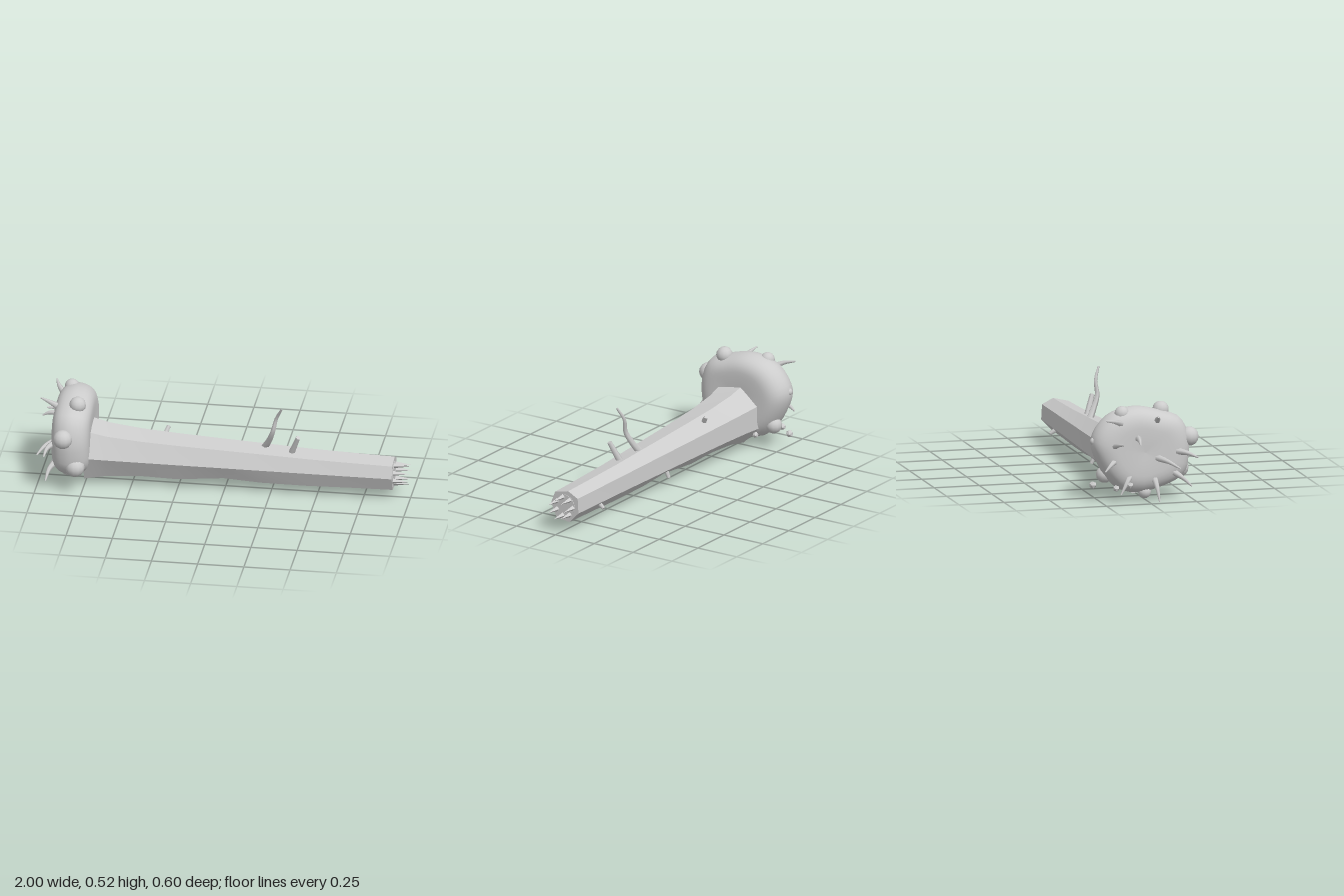
import * as THREE from 'three';

const V = (x, y, z) => new THREE.Vector3(x, y, z);

// Outlines are [z, y] pairs, running clockwise when seen from +x
const ROOT_END = [[.17, .19], [.105, .32], [-.04, .345], [-.15, .255], [-.15, .125], [-.04, .02], [.105, .045]];
const CUT_END = [[.088, .148], [.063, .212], [-.022, .232], [-.083, .2], [-.088, .118], [-.03, .058], [.053, .07]];
const BALL = [[.255, .3], [.235, .39], [.19, .45], [.1, .48], [.02, .502], [-.05, .51], [-.13, .497], [-.2, .465],
  [-.26, .4], [-.288, .335], [-.282, .275], [-.25, .2], [-.2, .12], [-.13, .06], [-.02, .04], [.1, .068],
  [.18, .1], [.235, .15], [.25, .22]];

// Skin rings ordered toward +x; sharp keeps the lengthwise edges crisp
function loft(rings, sharp) {
  const pos = [], idx = [], n = rings[0].length;
  const quad = (a, b, c, d) => idx.push(a, c, b, b, c, d);
  if (sharp) {
    for (let i = 0; i < n; i++) {
      const base = pos.length / 3;
      rings.forEach(r => pos.push(...r[i], ...r[(i + 1) % n]));
      for (let j = 0; j < rings.length - 1; j++) {
        const k = base + j * 2;
        quad(k, k + 1, k + 2, k + 3);
      }
    }
  } else {
    rings.forEach(r => r.forEach(p => pos.push(...p)));
    for (let j = 0; j < rings.length - 1; j++) {
      for (let i = 0; i < n; i++) {
        const k = (i + 1) % n;
        quad(j * n + i, j * n + k, (j + 1) * n + i, (j + 1) * n + k);
      }
    }
  }
  return finish(pos, idx);
}

function finish(pos, idx) {
  const g = new THREE.BufferGeometry();
  g.setAttribute('position', new THREE.Float32BufferAttribute(pos, 3));
  g.setIndex(idx);
  g.computeVertexNormals();
  return g;
}

// Flat end face over a ring
function cap(ring, facesRight) {
  const n = ring.length, pos = ring.flat(), idx = [];
  for (let i = 1; i < n - 1; i++) idx.push(0, ...(facesRight ? [i + 1, i] : [i, i + 1]));
  return finish(pos, idx);
}

// Tapered limb along a curve: a tube whose rings shrink toward the tip, closed by a point
function limb(points, r0, r1, sides = 6) {
  const curve = new THREE.CatmullRomCurve3(points);
  const steps = 4 * (points.length - 1);
  const g = new THREE.TubeGeometry(curve, steps, 1, sides, false);
  const p = g.attributes.position, v = V(), c = V();
  for (let j = 0; j <= steps; j++) {
    curve.getPointAt(j / steps, c);
    for (let i = 0; i <= sides; i++) {
      const k = j * (sides + 1) + i;
      v.fromBufferAttribute(p, k).sub(c).multiplyScalar(r0 + (r1 - r0) * j / steps).add(c);
      p.setXYZ(k, v.x, v.y, v.z);
    }
  }
  return g;
}

export function createModel() {
  const model = new THREE.Group();
  const bark = new THREE.MeshStandardMaterial({ color: 0xcccccc });
  bark.name = 'pale bark';
  const add = (name, geometry, parent = model) => {
    const m = new THREE.Mesh(geometry, bark);
    m.name = name;
    parent.add(m);
    return m;
  };
  const group = name => {
    const g = new THREE.Group();
    g.name = name;
    model.add(g);
    return g;
  };

  // Seven-sided trunk flaring toward the roots: [x, flare, bottom lift]
  const stations = [[-.75, 1, 0], [-.71, .95, .005], [-.63, .77, .012], [-.45, .58, .015], [-.25, .46, .004],
    [0, .34, .022], [.2, .25, .005], [.45, .13, -.002], [.68, .06, 0], [.91, 0, 0]];
  const rings = stations.map(([x, t, lift]) => CUT_END.map(([z, y], i) => [
    x,
    y + (ROOT_END[i][1] - y) * t + (i > 4 ? lift : 0),
    z + (ROOT_END[i][0] - z) * t,
  ]));
  add('trunk', loft(rings, true));
  add('trunkCutFace', cap(rings[rings.length - 1], true));
  add('trunkRootFace', cap(rings[0], false));

  // Inner disc and ring of splinters on the cut end
  const disc = add('heartwood', new THREE.CylinderGeometry(.065, .065, .006, 14));
  disc.rotation.z = -Math.PI / 2;
  disc.position.set(.91, .145, 0);
  const splinters = group('splinters');
  for (let i = 0; i < 7; i++) {
    const a = i / 7 * Math.PI * 2;
    const s = add('splinter', new THREE.ConeGeometry(.015, .09, 4).toNonIndexed(), splinters);
    s.geometry.computeVertexNormals();
    s.rotation.z = -Math.PI / 2;
    s.position.set(.955, .143 + .053 * Math.sin(a), -.053 * Math.cos(a));
  }

  // Lens-shaped root ball
  const outline = new THREE.CatmullRomCurve3(BALL.map(([z, y]) => V(0, y, z)), true).getPoints(38).slice(0, 38);
  const profile = new THREE.CatmullRomCurve3([[-.915, 0], [-.92, .45], [-.912, .75], [-.875, .94], [-.82, 1],
    [-.765, .95], [-.725, .8], [-.715, .55], [-.725, 0]].map(([x, s]) => V(x, s, 0))).getPoints(24);
  add('rootBall', loft(profile.map(q => outline.map(o => [
    q.x, .27 + (o.y - .27) * q.y, -.01 + (o.z + .01) * q.y,
  ])), false));

  // Rounded knobs on the root ball: x, y, z, radius
  const knobs = group('rootKnobs');
  [[-.785, .478, .108, .045], [-.785, .158, .21, .053], [-.845, .335, .25, .052], [-.85, .478, -.125, .04],
    [-.79, .14, -.205, .046], [-.83, .33, -.275, .021], [-.855, .048, 0, .036],
  ].forEach(([x, y, z, r]) => add('knob', new THREE.SphereGeometry(r, 12, 8), knobs).position.set(x, y, z));

  // Loose clods of earth
  const clods = group('earthClods');
  [[-.83, .093, -.28, .021], [-.92, .085, -.175, .019], [-.93, .1, -.1, .018], [-.72, .09, -.135, .017],
  ].forEach(([x, y, z, r]) => add('clod', new THREE.IcosahedronGeometry(r, 0), clods).position.set(x, y, z));

  // Curved root spikes: base, then tip
  const roots = group('roots');
  [[[-.88, .43, .06], [-.995, .475, .04]], [[-.88, .42, -.12], [-.95, .46, -.24]],
    [[-.9, .35, -.05], [-1, .325, -.06]], [[-.88, .3, -.19], [-.99, .33, -.15]],
    [[-.9, .27, .16], [-.945, .235, .275]], [[-.9, .24, .05], [-1, .19, .16]],
    [[-.89, .16, .14], [-.94, .08, .24]], [[-.89, .14, .04], [-.965, .008, .055]],
    [[-.89, .16, -.08], [-.93, .05, -.15]], [[-.89, .23, -.17], [-.94, .18, -.24]],
  ].forEach(([a, b]) => {
    const base = V(...a), tip = V(...b);
    const mid = base.clone().lerp(tip, .5).add(V(-.012, .008, 0));
    add('root', limb([base, mid, tip], .021, .004), roots);
  });

  // Long crooked branch
  add('branch', limb([V(.195, .225, -.025), V(.235, .295, .015), V(.262, .365, .044), V(.28, .44, .04),
    V(.313, .51, .066)], .021, .006, 5));

  // Broken branch stubs: base, tip, radius
  const stubs = group('branchStubs');
  [[[.355, .225, .012], [.4, .343, .055], .016], [[-.34, .25, -.05], [-.32, .3, -.085], .014],
    [[0, .1, -.035], [0, .045, -.06], .013], [[.68, .11, -.06], [.685, .083, -.1], .012],
  ].forEach(([a, b, r]) => {
    const from = V(...a), to = V(...b), d = to.clone().sub(from);
    const s = add('stub', new THREE.CylinderGeometry(r * .8, r * 1.2, d.length(), 6), stubs);
    s.position.copy(from).add(to).multiplyScalar(.5);
    s.quaternion.setFromUnitVectors(V(0, 1, 0), d.normalize());
  });

  return model;
}
